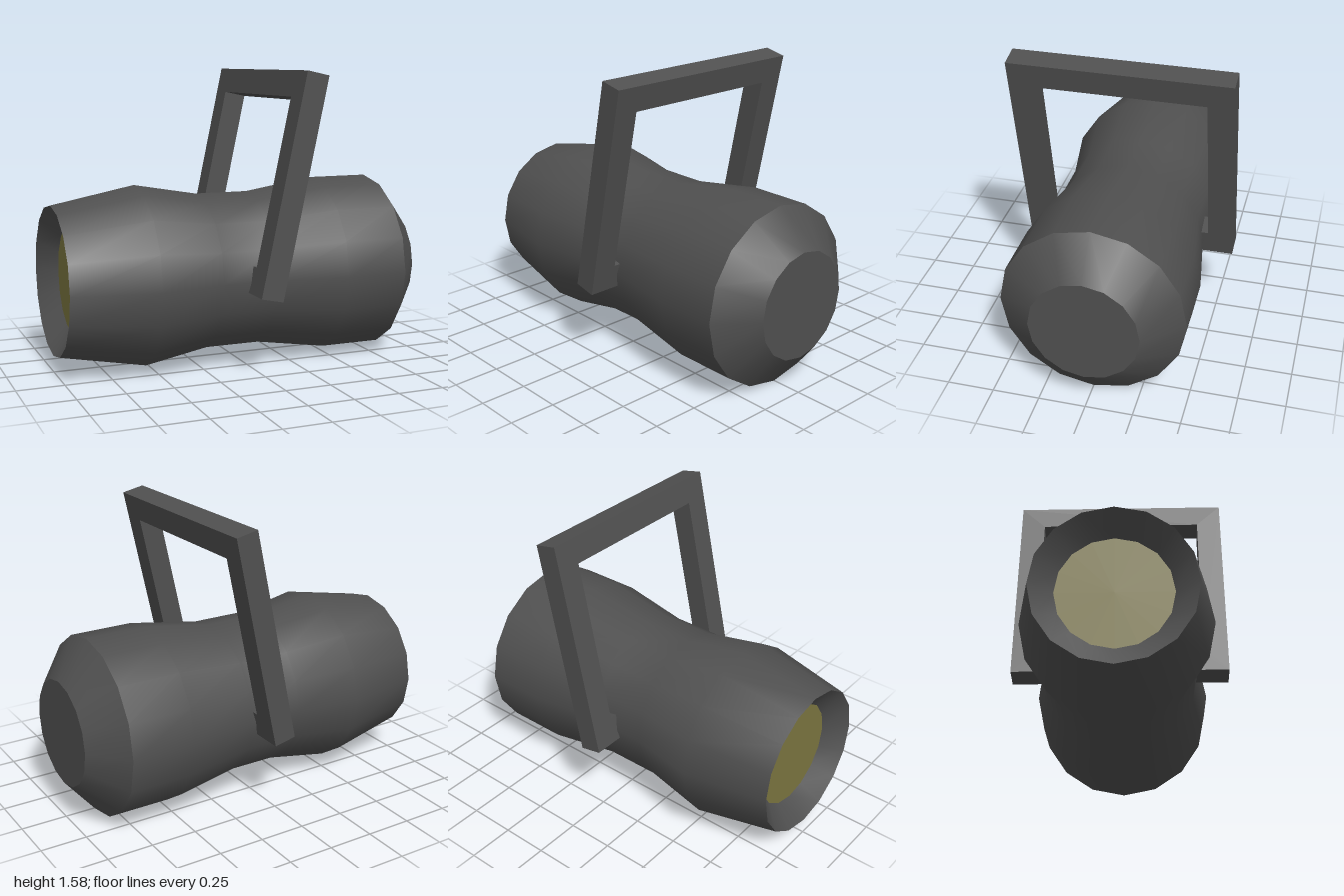
import * as THREE from 'three';
import { toCreasedNormals } from 'three/addons/utils/BufferGeometryUtils.js';

const SIDES = 16;
const AXIS_Y = 0.488;

export function createModel() {
  const model = new THREE.Group();
  model.name = 'spotlight';
  const dark = new THREE.MeshStandardMaterial({ color: 0x505050 });
  const glass = new THREE.MeshStandardMaterial({ color: 0x7c7640 });

  const add = (name, geometry, material) => {
    const mesh = new THREE.Mesh(geometry, material);
    mesh.name = name;
    model.add(mesh);
    return mesh;
  };

  // Housing: [radius, x] from the recessed lens seat, round the rim, to the closed rear cap
  const profile = [
    [0.285, -0.9], [0.4, -1], [0.487, -0.55], [0.425, -0.2], [0.425, 0.1],
    [0.487, 0.49], [0.487, 0.835], [0.287, 1], [0, 1],
  ].map(([r, x]) => new THREE.Vector2(r, x));
  const housing = new THREE.LatheGeometry(profile, SIDES).rotateZ(-Math.PI / 2);
  add('housing', toCreasedNormals(housing, 0.55), dark).position.y = AXIS_Y;

  // Lens, set back inside the open end
  const lens = new THREE.CircleGeometry(0.285, SIDES).rotateY(-Math.PI / 2);
  add('lens', lens, glass).position.set(-0.9, AXIS_Y, 0);

  // Yoke: U-shaped bracket whose feet thicken inwards to grip the housing
  const outer = 0.585, inner = 0.45, grip = 0.4;
  const height = 1.171, bar = 0.137, foot = 0.14, depth = 0.123;
  const half = [
    [outer, height], [outer, 0], [grip, 0], [grip, foot], [inner, foot], [inner, height - bar],
  ];
  const mirrored = half.map(([z, y]) => [-z, y]).reverse();
  const outline = new THREE.Shape([...half, ...mirrored].map(([z, y]) => new THREE.Vector2(z, y)));
  const yokeGeometry = new THREE.ExtrudeGeometry(outline, { depth, bevelEnabled: false })
    .translate(0, 0, -depth / 2)
    .rotateY(Math.PI / 2);
  const yoke = add('yoke', yokeGeometry, dark);
  yoke.position.y = 0.4225;
  yoke.rotation.z = -0.211;

  return model;
}
